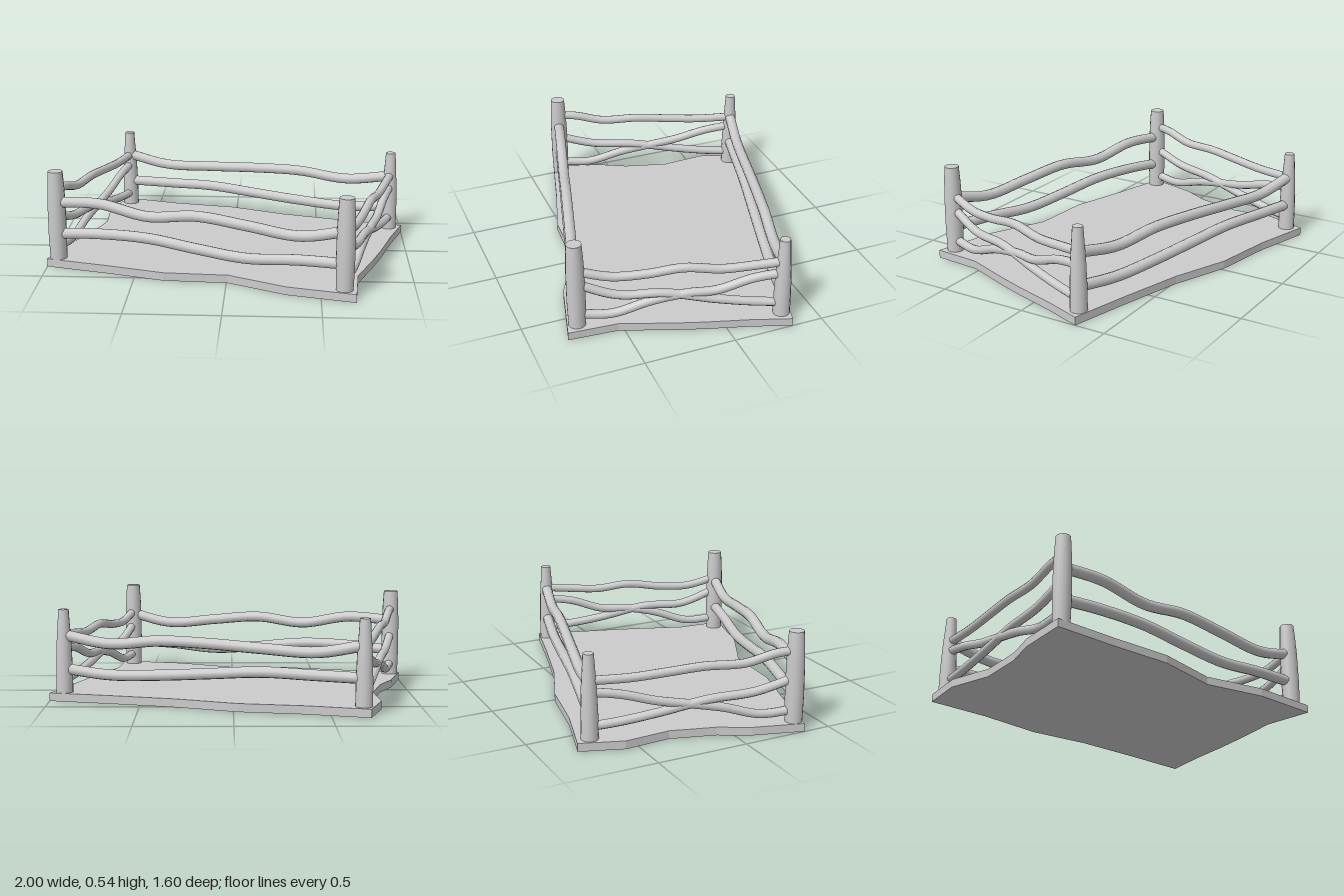
import * as THREE from 'three';

const material = new THREE.MeshStandardMaterial({ color: 0xcccccc });

function add(group, name, geometry) {
  const mesh = new THREE.Mesh(geometry, material);
  mesh.name = name;
  group.add(mesh);
  return mesh;
}

// Post: lathe profile swelling a little, then narrowing to a flat top
function makePost(profile) {
  const top = profile[profile.length - 1];
  const points = profile.map(([r, y]) => new THREE.Vector2(r, y));
  const post = new THREE.Group();
  add(post, 'postShaft', new THREE.LatheGeometry(points, 14));
  const cap = add(post, 'postTop', new THREE.CircleGeometry(top[0], 14).rotateX(-Math.PI / 2));
  cap.position.y = top[1];
  return post;
}

// Rail: crooked branch between two posts; knots are [fraction along, height]
function makeRail(from, to, knots, radius) {
  const points = knots.map(([t, y]) => new THREE.Vector3(
    THREE.MathUtils.lerp(from[0], to[0], t), y,
    THREE.MathUtils.lerp(from[1], to[1], t)));
  const curve = new THREE.CatmullRomCurve3(points, false, 'centripetal');
  return new THREE.TubeGeometry(curve, knots.length * 5, radius, 10);
}

export function createModel() {
  const model = new THREE.Group();
  model.name = 'fencedPen';

  // Ground slab with an uneven outline, as [x, z]
  const outline = [
    [-0.70, -0.80], [-0.37, -0.706], [-0.02, -0.642], [0.30, -0.515], [0.66, -0.415], [1.0, -0.33],
    [0.925, -0.12], [0.855, 0.11], [0.80, 0.27], [0.70, 0.53], [0.68, 0.80],
    [0.32, 0.71], [0.01, 0.555], [-0.34, 0.535], [-0.66, 0.44], [-1.0, 0.35],
    [-0.92, 0.08], [-0.835, -0.08], [-0.765, -0.32], [-0.78, -0.57],
  ];
  const shape = new THREE.Shape(outline.map(([x, z]) => new THREE.Vector2(x, -z)));
  add(model, 'groundSlab', new THREE.ExtrudeGeometry(shape, { depth: 0.045, bevelEnabled: false })
    .rotateX(-Math.PI / 2));

  // Corner posts: the front pair is taller and thicker
  const frontRight = [-0.94, 0.32], frontLeft = [0.62, 0.73];
  const backRight = [-0.67, -0.72], backLeft = [0.92, -0.30];
  const tall = [[0.046, 0.04], [0.050, 0.18], [0.049, 0.36], [0.045, 0.46], [0.040, 0.54]];
  const short = [[0.046, 0.04], [0.045, 0.18], [0.040, 0.32], [0.033, 0.42], [0.028, 0.50]];
  const posts = { frontRight, frontLeft, backRight, backLeft };
  for (const [corner, [x, z]] of Object.entries(posts)) {
    const post = makePost(corner.startsWith('front') ? tall : short);
    post.name = corner + 'Post';
    post.position.set(x, 0, z);
    model.add(post);
  }

  // Rails: two level ones on the long sides; a top rail and a crossed pair on the short sides
  const sides = [
    ['front', frontRight, frontLeft, 0.03, {
      Upper: [[0, 0.365], [0.16, 0.378], [0.33, 0.333], [0.50, 0.362], [0.67, 0.338], [0.85, 0.31], [1, 0.36]],
      Lower: [[0, 0.185], [0.16, 0.207], [0.33, 0.21], [0.50, 0.18], [0.67, 0.157], [0.84, 0.178], [1, 0.185]],
    }],
    ['back', backLeft, backRight, 0.03, {
      Upper: [[0, 0.36], [0.16, 0.32], [0.33, 0.345], [0.50, 0.34], [0.67, 0.325], [0.85, 0.315], [1, 0.36]],
      Lower: [[0, 0.175], [0.16, 0.15], [0.33, 0.16], [0.50, 0.18], [0.67, 0.20], [0.84, 0.195], [1, 0.19]],
    }],
    ['left', frontLeft, backLeft, 0.024, {
      Upper: [[0, 0.375], [0.17, 0.33], [0.34, 0.335], [0.52, 0.36], [0.70, 0.34], [0.85, 0.35], [1, 0.365]],
      Falling: [[0, 0.295], [0.20, 0.215], [0.42, 0.21], [0.67, 0.155], [0.85, 0.125], [1, 0.11]],
      Rising: [[0, 0.11], [0.17, 0.10], [0.36, 0.165], [0.53, 0.20], [0.68, 0.21], [0.85, 0.27], [1, 0.295]],
    }],
    ['right', frontRight, backRight, 0.024, {
      Upper: [[0, 0.435], [0.10, 0.425], [0.25, 0.385], [0.45, 0.385], [0.62, 0.37], [0.80, 0.355], [1, 0.355]],
      Falling: [[0, 0.285], [0.20, 0.225], [0.42, 0.205], [0.67, 0.155], [0.85, 0.125], [1, 0.11]],
      Rising: [[0, 0.11], [0.17, 0.10], [0.36, 0.155], [0.53, 0.19], [0.68, 0.22], [0.85, 0.27], [1, 0.295]],
    }],
  ];
  for (const [side, from, to, radius, rails] of sides) {
    for (const [kind, knots] of Object.entries(rails)) {
      add(model, `${side}${kind}Rail`, makeRail(from, to, knots, radius));
    }
  }
  return model;
}
